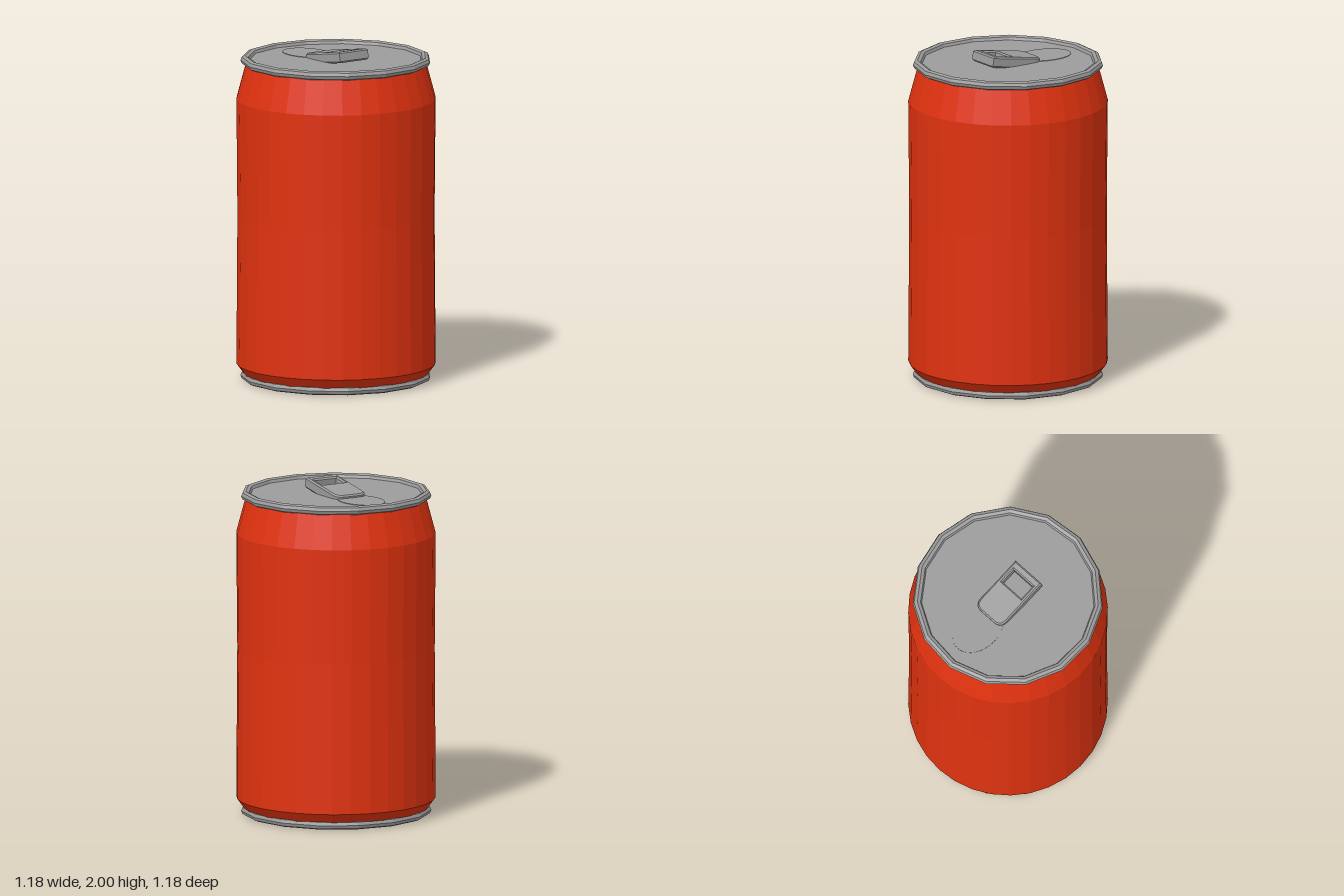
import * as THREE from 'three';

export function createModel() {
  const red = new THREE.MeshStandardMaterial({ color: 0xe0320f, flatShading: true });
  red.name = 'red paint';
  const silver = new THREE.MeshStandardMaterial({ color: 0x9c9c9c, flatShading: true });
  silver.name = 'silver metal';

  const model = new THREE.Group();
  model.name = 'drinkCan';
  const add = (name, geometry, material, y = 0) => {
    const mesh = new THREE.Mesh(geometry, material);
    mesh.name = name;
    mesh.position.y = y;
    model.add(mesh);
    return mesh;
  };

  // Painted wall: bottom chamfer, slightly waisted side and sloping shoulder
  const profile = [[0.545, 0.04], [0.59, 0.1], [0.584, 1.0], [0.59, 1.69], [0.53, 1.915]]
    .map(([r, y]) => new THREE.Vector2(r, y));
  add('body', new THREE.LatheGeometry(profile, 32), red);

  // Fifteen-sided rolled rims at both ends
  const rim = new THREE.TorusGeometry(0.538, 0.027, 8, 15).rotateX(Math.PI / 2);
  add('topRim', rim, silver, 1.919);
  add('bottomRim', rim, silver, 0.027);

  // End plates inside the rims
  add('lid', new THREE.CircleGeometry(0.53, 15).rotateX(-Math.PI / 2), silver, 1.921);
  add('base', new THREE.CircleGeometry(0.53, 15).rotateX(Math.PI / 2), silver, 0.025);

  // Oval drinking panel, barely proud of the lid
  const panel = add('openingPanel', new THREE.CylinderGeometry(1, 1, 0.004, 40), silver, 1.922);
  panel.scale.set(0.126, 1, 0.175);
  panel.position.set(-0.01, 1.922, -0.268);

  // Pull tab outline: square at the front, rounded at the back, with a finger hole
  const w = 0.106, front = -0.176, back = 0.184, r = 0.055;
  const outline = new THREE.Shape();
  outline.moveTo(-w, front);
  outline.lineTo(w, front);
  outline.lineTo(w, back - r);
  outline.quadraticCurveTo(w, back, w - r, back);
  outline.lineTo(-w + r, back);
  outline.quadraticCurveTo(-w, back, -w, back - r);
  outline.closePath();
  const hole = new THREE.Path();
  hole.moveTo(-0.077, -0.128);
  hole.lineTo(-0.077, -0.03);
  hole.lineTo(0.077, -0.03);
  hole.lineTo(0.077, -0.128);
  hole.closePath();
  outline.holes.push(hole);

  const bevel = 0.009, thickness = 0.066;
  const tabGeometry = new THREE.ExtrudeGeometry(outline, {
    depth: thickness - 2 * bevel, curveSegments: 5, bevelEnabled: true,
    bevelThickness: bevel, bevelSize: bevel, bevelOffset: -bevel, bevelSegments: 1,
  });
  // Lay flat with the top surface at local y = 0
  tabGeometry.rotateX(-Math.PI / 2).translate(0, bevel - thickness, 0);
  const tab = add('pullTab', tabGeometry, silver);
  tab.rotation.x = -0.165; // front end lifted
  tab.position.set(-0.003, 1.9725, 0);

  return model;
}
